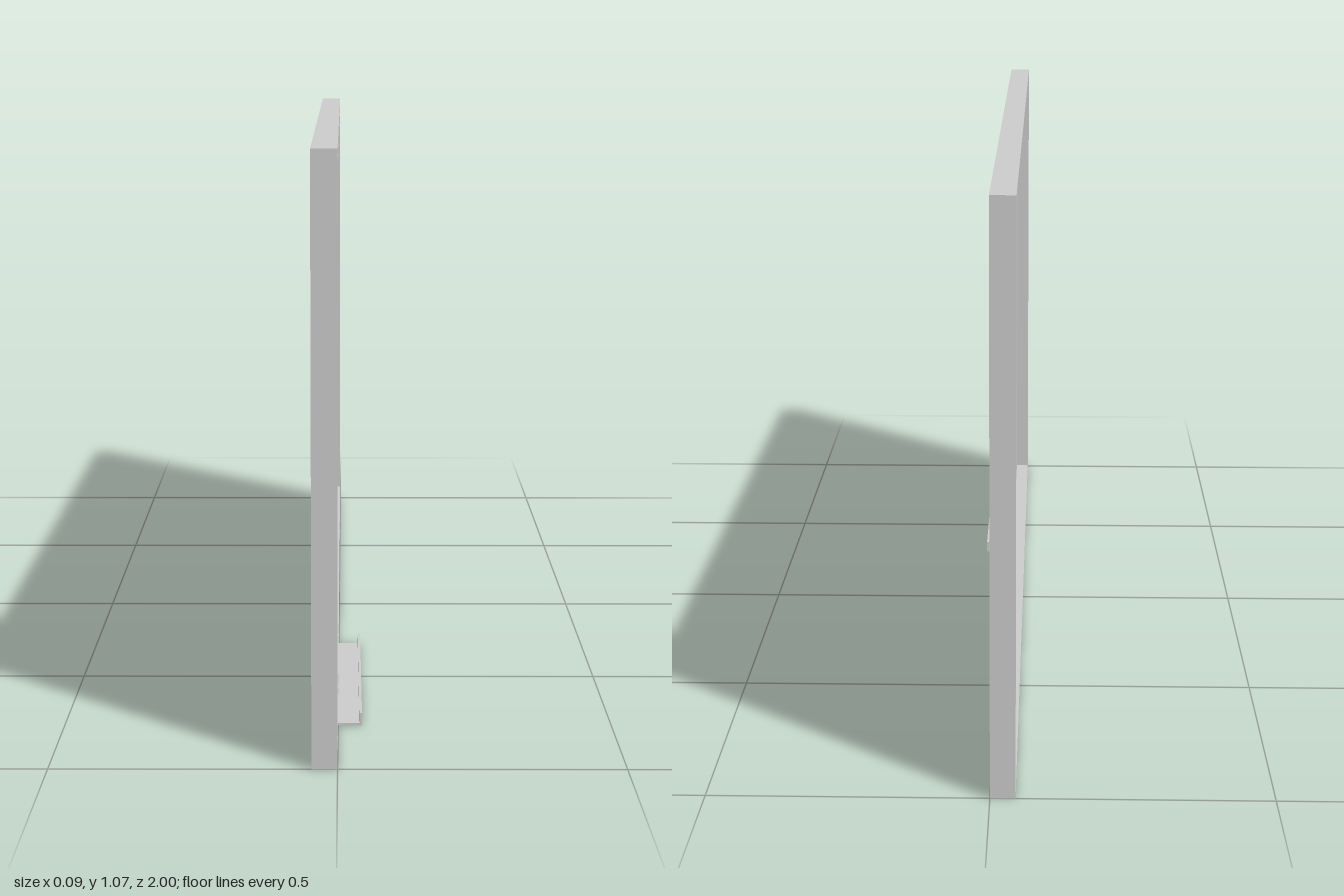
import * as THREE from 'three';

const HEIGHT = 1.066;
const material = new THREE.MeshStandardMaterial({ color: 0xcccccc });

// Rectangle outline inset from the outer edge of the board
function outline(PathType, side, bottom, top) {
  const z = 1 - side, y0 = bottom, y1 = HEIGHT - top;
  const p = new PathType();
  p.moveTo(-z, y0);
  p.lineTo(z, y0);
  p.lineTo(z, y1);
  p.lineTo(-z, y1);
  p.closePath();
  return p;
}

// Rectangular ring (or plate, without a hole) spanning x0..x1
function ring(name, outer, inner, x0, x1) {
  const shape = outline(THREE.Shape, ...outer);
  if (inner) shape.holes.push(outline(THREE.Path, ...inner));
  const geometry = new THREE.ExtrudeGeometry(shape, { depth: x1 - x0, bevelEnabled: false });
  geometry.rotateY(Math.PI / 2);
  geometry.translate(x0, 0, 0);
  const mesh = new THREE.Mesh(geometry, material);
  mesh.name = name;
  return mesh;
}

function box(name, x0, x1, y0, y1, z0, z1) {
  const mesh = new THREE.Mesh(new THREE.BoxGeometry(x1 - x0, y1 - y0, z1 - z0), material);
  mesh.position.set((x0 + x1) / 2, (y0 + y1) / 2, (z0 + z1) / 2);
  mesh.name = name;
  return mesh;
}

export function createModel() {
  const model = new THREE.Group();
  model.name = 'wallBoard';
  const edge = [0, 0, 0];
  const wall = [0.003, 0.003, 0.003];

  // Thin outer casing, open at the back
  model.add(ring('casing', edge, wall, -0.045, 0));
  // Front lip, then a narrow groove, then the bezel around the sunken panel
  model.add(ring('frontLip', wall, [0.018, 0.018, 0.016], -0.014, 0));
  model.add(ring('bezel', [0.025, 0.024, 0.022], [0.06, 0.045, 0.045], -0.014, 0));
  model.add(ring('panel', wall, null, -0.016, -0.013));

  // Pen tray with an upturned edge
  const tray = new THREE.Group();
  tray.name = 'penTray';
  tray.add(box('trayFloor', 0, 0.044, 0, 0.005, 0.3, 0.78));
  tray.add(box('trayEdge', 0.039, 0.044, 0.005, 0.024, 0.3, 0.78));
  model.add(tray);

  return model;
}
